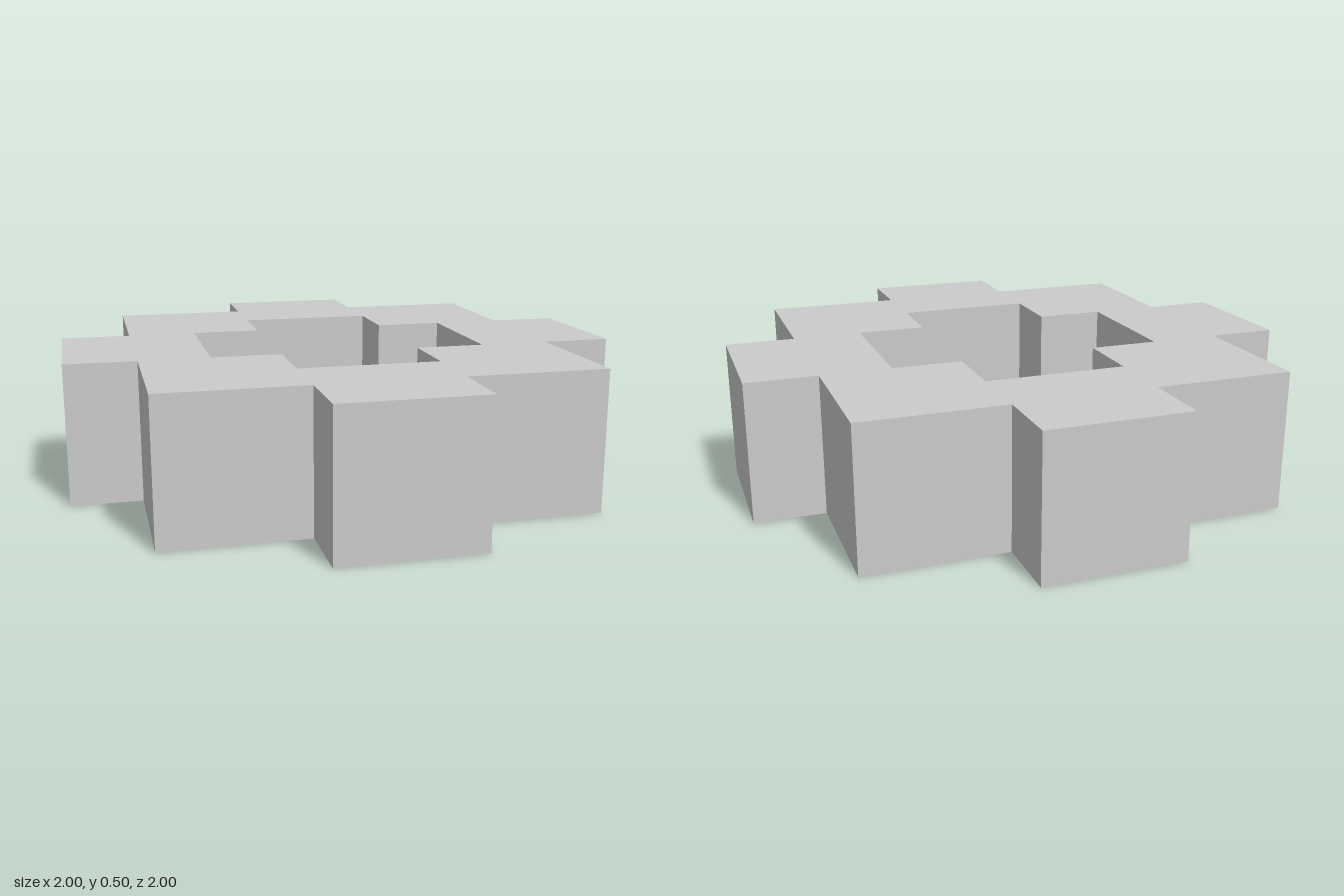
import * as THREE from 'three';

// Repeat one quadrant's outline corners four times around the centre
function fourfold(corners) {
  const points = [];
  for (let quarter = 0; quarter < 4; quarter++) {
    for (const [x, y] of corners) points.push(new THREE.Vector2(x, y));
    corners = corners.map(([x, y]) => [-y, x]);
  }
  return points;
}

export function createModel() {
  const group = new THREE.Group();
  group.name = 'steppedRing';

  // Stepped outer outline with a cross-shaped opening
  const outline = new THREE.Shape(fourfold([[1, 0.25], [0.75, 0.25], [0.75, 0.75], [0.25, 0.75], [0.25, 1]]));
  outline.holes.push(new THREE.Path(fourfold([[0.5, 0.25], [0.25, 0.25], [0.25, 0.5]])));

  // Extrude, then lay flat on the base plane
  const geometry = new THREE.ExtrudeGeometry(outline, { depth: 0.5, bevelEnabled: false });
  geometry.rotateX(-Math.PI / 2);

  const ring = new THREE.Mesh(geometry, new THREE.MeshStandardMaterial({ color: 0xcccccc, flatShading: true }));
  ring.name = 'ringBlock';
  group.add(ring);
  return group;
}
